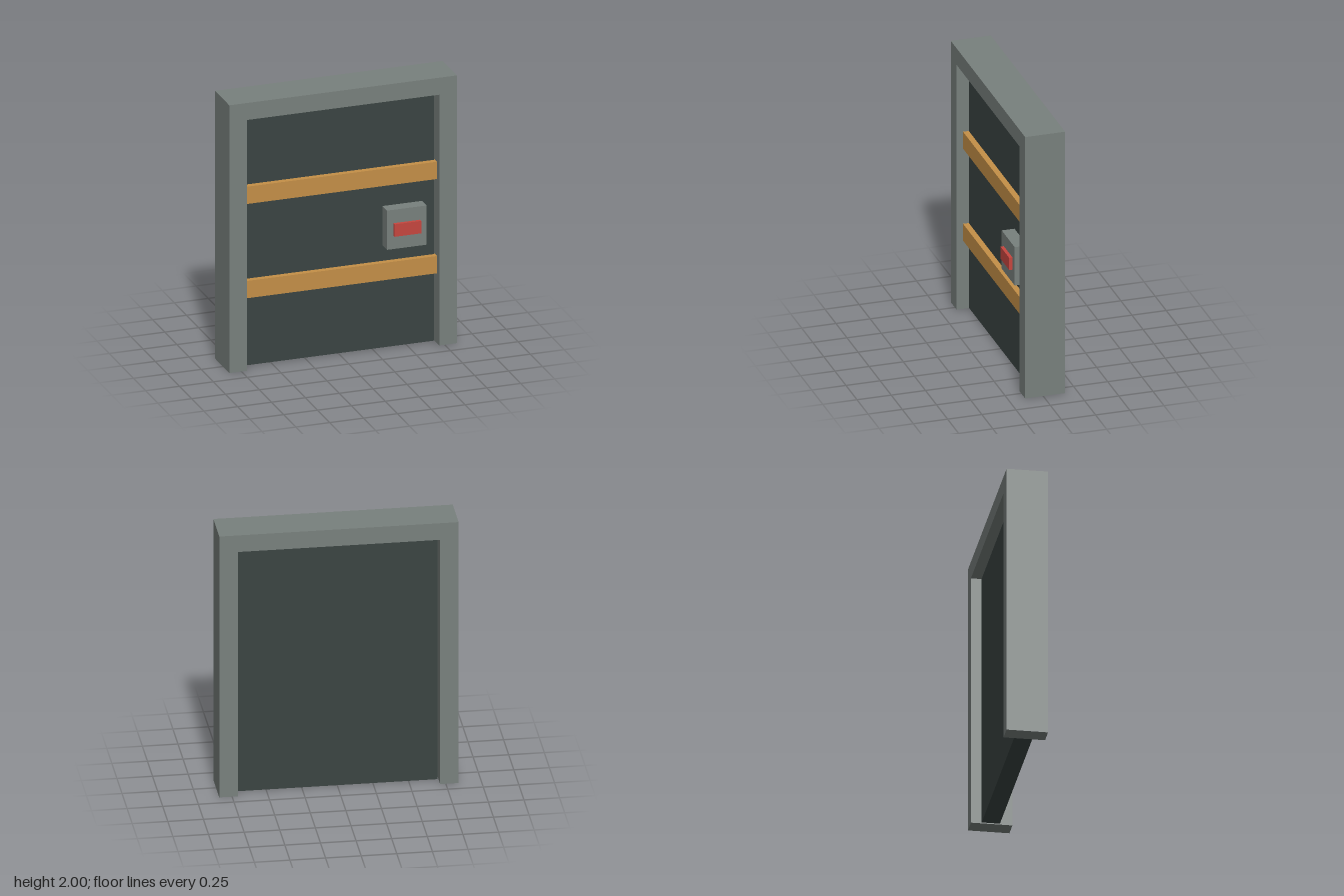
import * as THREE from 'three';

export function createModel() {
  const group = new THREE.Group();
  const mat = (name, color) => {
    const m = new THREE.MeshStandardMaterial({ color });
    m.name = name;
    return m;
  };
  const frameGrey = mat('frame grey', 0x78807d);
  const doorGrey = mat('dark door grey', 0x3a4442);
  const ochre = mat('ochre', 0xc48f47);
  const red = mat('signal red', 0xc6463f);

  // Box given by its minimum and maximum corners
  const box = (name, material, [x0, y0, z0], [x1, y1, z1]) => {
    const mesh = new THREE.Mesh(new THREE.BoxGeometry(x1 - x0, y1 - y0, z1 - z0), material);
    mesh.position.set((x0 + x1) / 2, (y0 + y1) / 2, (z0 + z1) / 2);
    mesh.name = name;
    group.add(mesh);
  };

  // Door frame: one extruded portal outline
  const zBack = -0.16, zFront = 0.132;
  const outline = [[-0.84, 0], [-0.71, 0], [-0.71, 1.873], [0.71, 1.873],
    [0.71, 0], [0.84, 0], [0.84, 2], [-0.84, 2]];
  const shape = new THREE.Shape(outline.map(([x, y]) => new THREE.Vector2(x, y)));
  const frame = new THREE.Mesh(
    new THREE.ExtrudeGeometry(shape, { depth: zFront - zBack, bevelEnabled: false }), frameGrey);
  frame.position.z = zBack;
  frame.name = 'doorFrame';
  group.add(frame);

  // Door slab, with a narrow gap at each jamb
  const doorFront = 0.043;
  box('doorPanel', doorGrey, [-0.703, 0.004, -0.085], [0.703, 1.873, doorFront]);

  // Two horizontal bars across the door
  for (const [name, y] of [['lowerBar', 0.522], ['upperBar', 1.226]]) {
    box(name, ochre, [-0.71, y, doorFront - 0.01], [0.71, y + 0.129, 0.085]);
  }

  // Lock box with its red indicator
  box('lockBox', frameGrey, [0.322, 0.767, doorFront - 0.01], [0.615, 1.06, 0.136]);
  box('lockIndicator', red, [0.369, 0.867, 0.13], [0.567, 0.96, 0.16]);

  return group;
}
